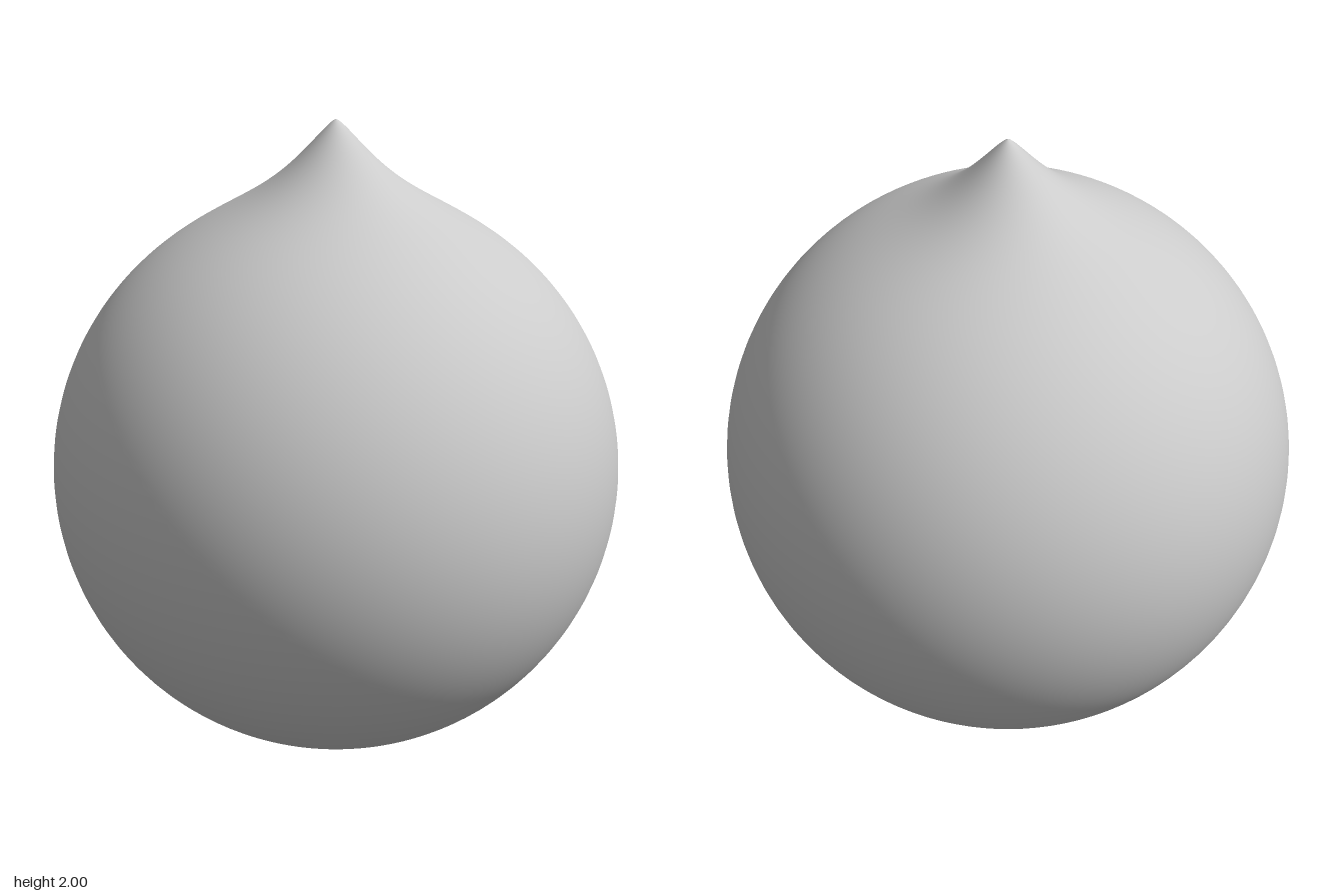
import * as THREE from 'three';

const RADIUS = 0.886;
const CENTRE = 0.888;
const PEAK = 2 - 2 * CENTRE;

// Round body whose top is drawn up into a soft point, from bottom to tip
function dropProfile(steps) {
  const points = [];
  for (let i = 0; i <= steps; i++) {
    const t = i / steps;
    const angle = Math.PI * (1 - Math.pow(1 - t, 1.25)); // closer rings near the tip
    const r = i === 0 || i === steps ? 0 : RADIUS * Math.sin(angle);
    const lift = angle > Math.PI / 2 ? PEAK * Math.exp(-Math.pow(r / 0.16, 1.3)) : 0;
    points.push(new THREE.Vector2(r, CENTRE - CENTRE * Math.cos(angle) + lift));
  }
  return points;
}

export function createModel() {
  const group = new THREE.Group();
  group.name = 'drop';

  const body = new THREE.Mesh(
    new THREE.LatheGeometry(dropProfile(120), 96),
    new THREE.MeshStandardMaterial({ color: 0xcccccc })
  );
  body.name = 'dropBody';
  group.add(body);

  return group;
}
